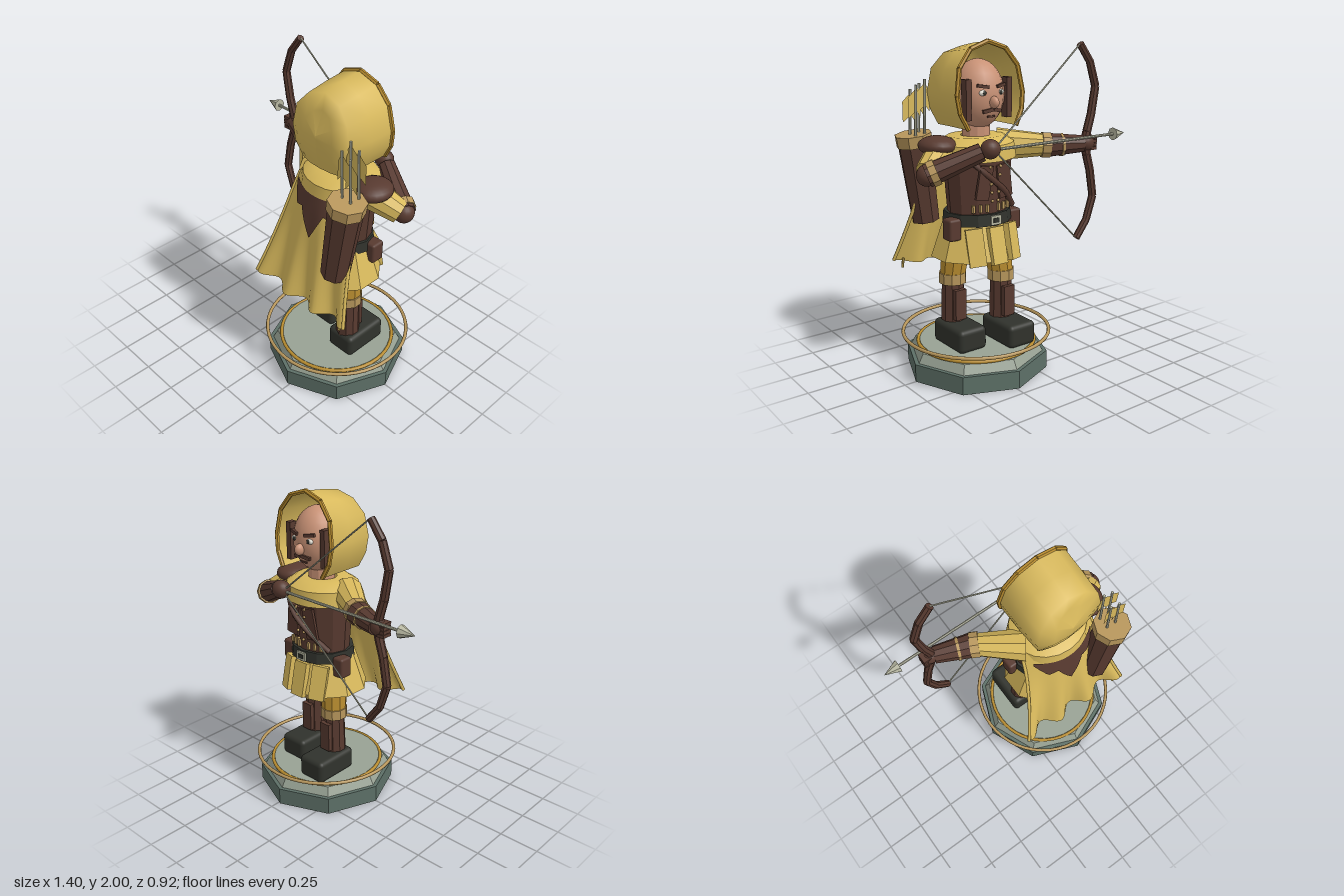
import * as THREE from 'three';
import { toCreasedNormals } from 'three/addons/utils/BufferGeometryUtils.js';
import { RoundedBoxGeometry } from 'three/addons/geometries/RoundedBoxGeometry.js';

const C = 0.235; // x of the figure's middle
const V = (x, y, z) => new THREE.Vector3(x, y, z);
const lerp = THREE.MathUtils.lerp;

function mat(name, color) {
  const m = new THREE.MeshStandardMaterial({ color, side: THREE.DoubleSide });
  m.name = name;
  return m;
}

export function createModel() {
  const root = new THREE.Group();
  root.name = 'hoodedArcher';
  const gold = mat('gold cloth', 0xd8b95c), ochre = mat('dark gold', 0xb98d30), tan = mat('tan leather', 0xb8975c);
  const brown = mat('brown leather', 0x583a30), black = mat('black leather', 0x30322c);
  const stone = mat('dark stone', 0x5d7067), pale = mat('pale stone', 0x98a294);
  const skin = mat('skin', 0xc99276), silver = mat('silver', 0xb8b8a2), white = mat('eye white', 0xe8e4d8);

  const add = (name, geo, m, pos = V(0, 0, 0)) => {
    const mesh = new THREE.Mesh(geo, m);
    mesh.name = name;
    mesh.position.copy(pos);
    root.add(mesh);
    return mesh;
  };
  const box = (name, m, x, y, z, w, h, d, rot = [0, 0, 0]) => {
    const b = add(name, new THREE.BoxGeometry(w, h, d), m, V(x, y, z));
    b.rotation.set(...rot);
    return b;
  };
  const ball = (name, m, x, y, z, rx, ry, rz) => {
    const b = add(name, new THREE.SphereGeometry(1, 20, 14), m, V(x, y, z));
    b.scale.set(rx, ry, rz);
    return b;
  };
  // Tapered faceted rod from a to b
  const limb = (name, m, a, b, ra, rb = ra, sides = 10) => {
    const geo = toCreasedNormals(new THREE.CylinderGeometry(rb, ra, a.distanceTo(b), sides), 0.5);
    const r = add(name, geo, m, a.clone().lerp(b, 0.5));
    r.quaternion.setFromUnitVectors(V(0, 1, 0), b.clone().sub(a).normalize());
    return r;
  };
  const tube = (name, m, pts, r, n = 32) => add(name, new THREE.TubeGeometry(new THREE.CatmullRomCurve3(pts), n, r, 6), m);
  // Sheet over a grid; fn(s, t) returns a point, s and t in 0..1
  const sheet = (name, m, nu, nv, fn) => {
    const pos = [], idx = [];
    for (let j = 0; j <= nv; j++) for (let i = 0; i <= nu; i++) pos.push(...fn(i / nu, j / nv).toArray());
    for (let j = 0; j < nv; j++) for (let i = 0; i < nu; i++) {
      const a = j * (nu + 1) + i, b = a + nu + 1;
      idx.push(a, b, a + 1, a + 1, b, b + 1);
    }
    const g = new THREE.BufferGeometry();
    g.setAttribute('position', new THREE.Float32BufferAttribute(pos, 3));
    g.setIndex(idx);
    g.computeVertexNormals();
    return add(name, g, m);
  };

  // Base and rings
  limb('baseFoot', stone, V(C, 0, 0), V(C, 0.11, 0), 0.44, 0.44, 8);
  limb('baseStep', pale, V(C, 0.11, 0), V(C, 0.165, 0), 0.415, 0.385, 8);
  limb('baseTop', pale, V(C, 0.16, 0), V(C, 0.178, 0), 0.35, 0.35, 32);
  for (const [name, m, r, t, y] of [['baseTrim', ochre, 0.36, 0.011, 0.172], ['floatingRing', tan, 0.45, 0.011, 0.235]])
    add(name, new THREE.TorusGeometry(r, t, 8, 48), m, V(C, y, 0)).rotation.x = Math.PI / 2;

  // Legs and boots, one foot ahead
  for (const [s, z] of [[-1, -0.07], [1, 0.045]]) {
    const x = C + s * 0.138;
    add('boot', new RoundedBoxGeometry(0.195, 0.145, 0.305, 3, 0.03), black, V(C + s * 0.14, 0.248, z - 0.075));
    limb('shin', brown, V(x, 0.28, z), V(x, 0.57, z), 0.075, 0.068);
    box('shinGuard', brown, x, 0.43, z - 0.075, 0.075, 0.19, 0.03);
    limb('kneeCuff', tan, V(x, 0.555, z), V(x, 0.62, z), 0.084);
    limb('thigh', ochre, V(x, 0.6, z), V(C + s * 0.11, 0.86, z * 0.6), 0.078, 0.095);
  }

  // Torso, belt and skirt
  limb('torso', brown, V(C, 0.98, -0.03), V(C, 1.38, -0.03), 0.19, 0.22, 12).scale.z = 0.8;
  limb('belt', black, V(C, 0.94, -0.02), V(C, 1.01, -0.02), 0.212, 0.205, 12).scale.z = 0.9;
  const skirt = new THREE.CylinderGeometry(0.2, 0.28, 0.225, 10, 1, true);
  add('skirt', toCreasedNormals(skirt, 0.5), gold, V(C, 0.845, 0)).scale.z = 0.9;
  for (const s of [-1, 0, 1])
    box('skirtFlap', gold, C + s * 0.13, 0.825, -0.225 + Math.abs(s) * 0.03, 0.1, 0.22, 0.035, [0.22, -s * 0.45, 0]);
  box('buckle', silver, C, 0.975, -0.212, 0.07, 0.055, 0.012);
  box('buckleCentre', black, C, 0.975, -0.217, 0.04, 0.028, 0.009);
  for (const s of [-1, 1])
    add('beltPouch', new RoundedBoxGeometry(0.08, 0.13, 0.09, 2, 0.015), brown, V(C + s * 0.215, 0.925, -0.075));

  // Chest strap, flaps and studs
  tube('chestStrap', brown, [V(C - 0.17, 1.03, -0.14), V(C - 0.07, 1.14, -0.2), V(C + 0.06, 1.25, -0.21), V(C + 0.18, 1.37, -0.14)], 0.018);
  for (const s of [-1, 1]) {
    box('chestFlap', brown, C + s * 0.07, 1.2, -0.197, 0.09, 0.2, 0.016, [-0.06, 0, s * 0.15]);
    for (let i = 0; i < 5; i++) ball('stud', tan, C + s * (0.02 + i * 0.004), 1.09 + i * 0.05, -0.208, 0.009, 0.009, 0.009);
    for (let i = 0; i < 3; i++) box('waistLoop', tan, C + s * (0.04 + i * 0.04), 1.045, -0.186 + i * 0.013, 0.016, 0.045, 0.016);
  }

  // Rippled cape, u across from -1 to 1, v down from 0 to 1
  const cape = (u, v, lift = 0) => V(
    C + u * (0.235 + 0.07 * v + 0.07 * v * v),
    lerp(1.41, 0.62 + 0.04 * u * u, v),
    lift + lerp(0.18 - 0.13 * u * u, 0.31, Math.pow(v, 0.8)) - 0.037 * v * v * Math.cos(u * 10.1));
  sheet('cape', gold, 40, 16, (s, t) => cape(s * 2 - 1, t));
  for (const u of [-1, 1]) tube('capeHem', gold, [0, 0.2, 0.4, 0.6, 0.8, 1].map(v => cape(u, v)), 0.011);
  limb('capeTassel', gold, V(0.56, 0.61, 0.32), V(0.56, 0.67, 0.31), 0.008, 0.008, 6);

  // Jagged leather mantle on the cape
  const jag = [[0, 1.07], [0.34, 1.24], [0.56, 1.22], [0.85, 1.32], [1, 1.32]];
  const jagY = u => {
    const k = Math.max(1, jag.findIndex(p => p[0] >= u)), [a, ya] = jag[k - 1], [b, yb] = jag[k];
    return lerp(ya, yb, (u - a) / (b - a));
  };
  sheet('jaggedMantle', brown, 40, 5, (s, t) => {
    const u = (s * 2 - 1) * 0.85, y = lerp(1.34, jagY(Math.abs(u)), t);
    return cape(u, (1.41 - y) / 0.78, 0.012);
  });

  // Shoulder cowl and pauldron
  const cowl = [[0.09, 1.45], [0.17, 1.45], [0.235, 1.41], [0.248, 1.32], [0.2, 1.31]].map(p => new THREE.Vector2(...p));
  add('shoulderCowl', toCreasedNormals(new THREE.LatheGeometry(cowl, 20), 0.6), gold, V(C, 0, -0.01)).scale.z = 0.9;
  ball('pauldron', brown, 0.49, 1.41, 0, 0.11, 0.056, 0.12);

  // Head and face
  limb('neck', skin, V(C, 1.4, -0.02), V(C, 1.58, -0.02), 0.082, 0.082, 12);
  ball('head', skin, C, 1.69, -0.04, 0.152, 0.2, 0.155);
  ball('nose', skin, C, 1.655, -0.2, 0.025, 0.035, 0.036);
  for (const s of [-1, 1]) {
    ball('eye', white, C + s * 0.058, 1.708, -0.175, 0.026, 0.017, 0.014);
    ball('pupil', black, C + s * 0.056, 1.708, -0.187, 0.011, 0.013, 0.006);
    box('eyebrow', brown, C + s * 0.06, 1.745, -0.178, 0.07, 0.018, 0.02, [0, s * -0.25, s * 0.15]);
    box('moustache', brown, C + s * 0.03, 1.608, -0.182, 0.062, 0.02, 0.02, [0, s * -0.2, s * -0.2]);
    box('sideburn', brown, C + s * 0.14, 1.67, -0.13, 0.035, 0.23, 0.05);
  }
  box('mouth', brown, C, 1.572, -0.168, 0.05, 0.01, 0.01);

  // Hood: pointed arch swept back and closed to a blunt point
  const half = [[0.165, 1.51], [0.212, 1.6], [0.226, 1.7], [0.2, 1.85], [0.12, 1.95]];
  const arch = [...half.map(([x, y]) => [-x, y]), [0, 1.99], ...half.slice().reverse()];
  const rim = ([x, y]) => V(C + x, y, lerp(-0.185, -0.14, (y - 1.51) / 0.48));
  const rows = [
    rim,
    ([x, y]) => V(C + x, y - (y > 1.8 ? 0.015 : 0), 0),
    ([x, y]) => V(C + x * 0.95, 1.72 + (y - 1.72) * (y > 1.72 ? 0.86 : 1.02), 0.165 - 0.5 * (y - 1.72) ** 2),
    ([x, y]) => V(C + x * 0.5, 1.72 + (y - 1.72) * (y > 1.72 ? 0.5 : 1.02), 0.19 - 0.6 * (y - 1.72) ** 2),
    ([x, y]) => V(C, 1.72 + Math.min(0, (y - 1.72) * 1.02), 0.2 - 0.7 * Math.min(0, y - 1.72) ** 2),
  ];
  sheet('hood', gold, 10, 4, (s, t) => rows[Math.round(t * 4)](arch[Math.round(s * 10)]));
  const rimPts = arch.map(rim);
  for (let i = 0; i < 10; i++) limb('hoodRim', ochre, rimPts[i], rimPts[i + 1], 0.014, 0.014, 6);

  // Bow arm, stretched to -x
  limb('bowSleeve', gold, V(0.06, 1.37, 0.02), V(-0.18, 1.365, -0.16), 0.1, 0.066);
  limb('bowCuff', tan, V(-0.155, 1.365, -0.145), V(-0.2, 1.362, -0.17), 0.078);
  limb('bowForearm', brown, V(-0.19, 1.362, -0.165), V(-0.4, 1.36, -0.245), 0.074, 0.052);
  limb('bowWristBand', tan, V(-0.26, 1.36, -0.192), V(-0.275, 1.36, -0.198), 0.071);
  ball('bowHand', brown, -0.42, 1.365, -0.25, 0.055, 0.052, 0.045);
  for (let i = 0; i < 4; i++) box('bowFinger', brown, -0.455, 1.33 + i * 0.022, -0.25, 0.05, 0.019, 0.065);

  // Draw arm, folded to the string
  limb('drawSleeve', gold, V(0.45, 1.38, 0), V(0.615, 1.28, -0.09), 0.095, 0.072);
  ball('drawElbow', brown, 0.628, 1.272, -0.108, 0.062, 0.062, 0.062);
  limb('drawForearm', brown, V(0.63, 1.27, -0.11), V(0.36, 1.395, -0.255), 0.07, 0.054);
  limb('drawCuff', tan, V(0.615, 1.277, -0.118), V(0.58, 1.293, -0.137), 0.077);
  ball('drawHand', brown, 0.32, 1.41, -0.28, 0.058, 0.056, 0.055);

  // Bow, string and nocked arrow
  const bow = [[-0.41, 0], [-0.425, 0.07], [-0.455, 0.17], [-0.485, 0.34], [-0.435, 0.49], [-0.355, 0.595]];
  const nock = V(0.3, 1.405, -0.285);
  for (const s of [-1, 1]) {
    const pts = bow.map(([x, y]) => V(x, 1.365 + s * y, -0.25));
    for (let i = 0; i < 5; i++) limb('bowLimb', brown, pts[i], pts[i + 1], 0.028 - i * 0.001, 0.027 - i * 0.001, 8);
    limb('bowString', silver, pts[5], nock, 0.005, 0.005, 6);
  }
  limb('arrowShaft', silver, V(-0.62, 1.405, -0.29), nock, 0.009, 0.009, 8);
  limb('arrowHead', silver, V(-0.605, 1.405, -0.29), V(-0.7, 1.405, -0.29), 0.04, 0.001, 8);

  // Quiver with spare arrows
  const top = V(0.513, 1.45, 0.23), foot = V(0.437, 0.915, 0.235);
  limb('quiver', brown, foot, top.clone().lerp(foot, 0.04), 0.085, 0.103, 8);
  limb('quiverRim', tan, top.clone().lerp(foot, 0.13), top, 0.11, 0.112, 8);
  const feather = new THREE.Shape([[0, 0], [0.055, -0.04], [0.055, 0.08], [0, 0.13]].map(p => new THREE.Vector2(...p)));
  for (const [i, x] of [0.475, 0.535].entries()) for (const z of [0.165, 0.23]) {
    const h = z < 0.2 ? 1.77 - i * 0.03 : 1.74 - i * 0.03;
    limb('spareShaft', silver, V(x, 1.4, z), V(x - 0.012, h, z), 0.008, 0.008, 6);
    add('fletching', new THREE.ShapeGeometry(feather), gold, V(x - 0.012, h - 0.15, z));
    add('fletching', new THREE.ShapeGeometry(feather), gold, V(x - 0.012, h - 0.15, z)).scale.x = -0.5;
  }
  return root;
}
